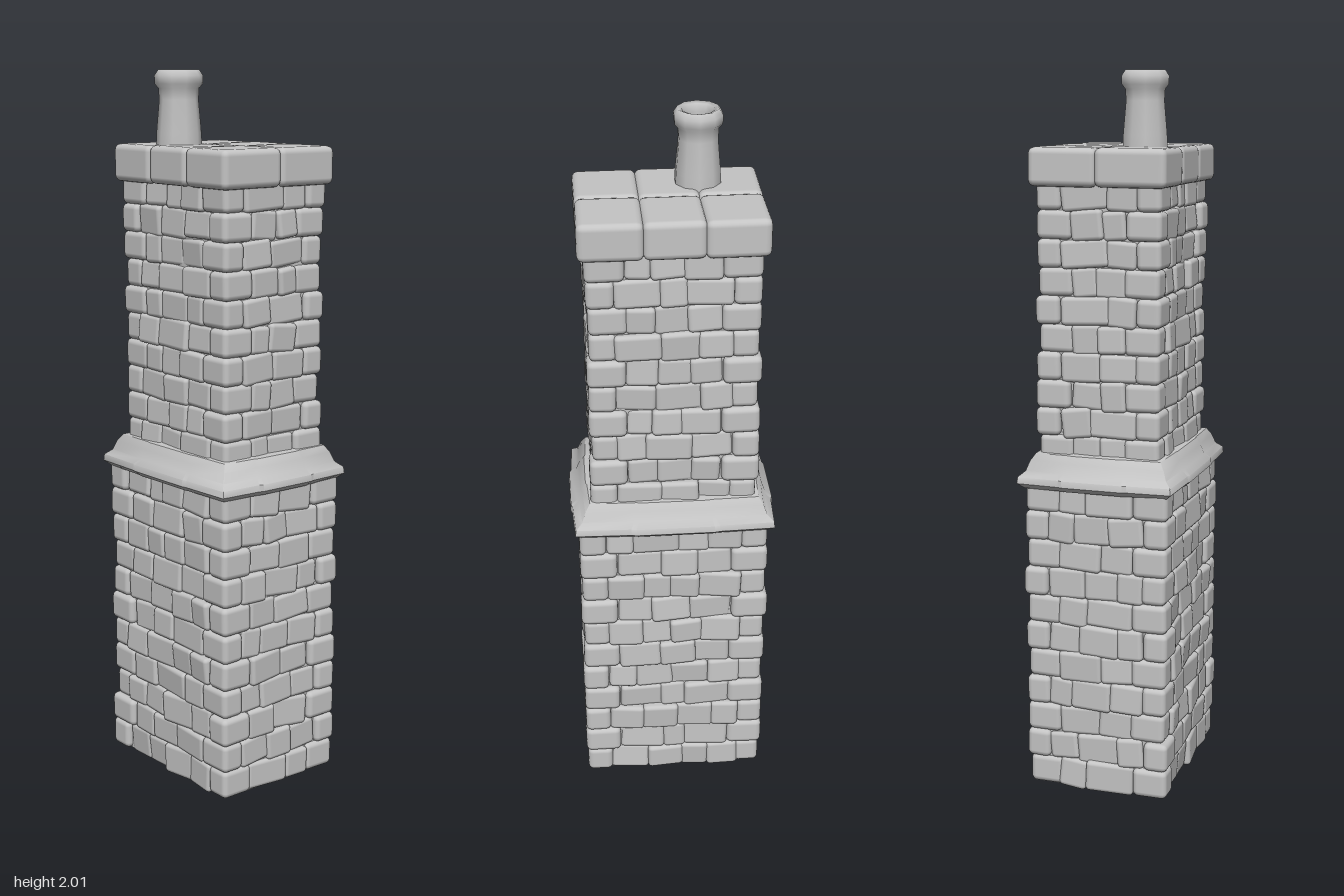
import * as THREE from 'three';
import { mergeGeometries, toCreasedNormals } from 'three/addons/utils/BufferGeometryUtils.js';
import { RoundedBoxGeometry } from 'three/addons/geometries/RoundedBoxGeometry.js';

const stoneGrey = new THREE.MeshStandardMaterial({ color: 0xc4c4c4 });
stoneGrey.name = 'stoneGrey';

let seed = 11;
function rand(a = 0, b = 1) {
  seed = (seed * 16807) % 2147483647;
  return a + (b - a) * (seed / 2147483647);
}

function part(name, geometry) {
  const mesh = new THREE.Mesh(geometry, stoneGrey);
  mesh.name = name;
  return mesh;
}

// One softly rounded, slightly tilted stone
function stone(w, h, d, x, y, z, tilt, radius = 0.012) {
  const g = new RoundedBoxGeometry(w, h, d, 2, Math.min(radius, w * 0.45, h * 0.45, d * 0.45));
  g.rotateX(rand(-tilt, tilt));
  g.rotateY(rand(-tilt, tilt));
  g.rotateZ(rand(-tilt, tilt) * 0.5);
  return g.translate(x, y, z);
}

// Cuts a span into stones of uneven width
function split(from, to, size) {
  const n = Math.max(1, Math.round((to - from) / size));
  const cuts = [from];
  for (let i = 1; i < n; i++) cuts.push(from + ((to - from) * (i + rand(-0.28, 0.28))) / n);
  cuts.push(to);
  return cuts;
}

// Square shaft of stone courses with alternating corner blocks around a core
function shaft(name, hw, hd, y0, y1, courses) {
  const group = new THREE.Group();
  group.name = name;
  const step = (y1 - y0) / courses;
  const corners = [], walls = [];

  for (let c = 0; c < courses; c++) {
    const y = y0 + (c + 0.5) * step;
    const cw = c % 2 ? 0.105 : 0.075;
    const cd = c % 2 ? 0.07 : 0.1;
    for (const sx of [-1, 1]) {
      for (const sz of [-1, 1]) {
        const out = rand(-0.006, 0.006);
        corners.push(stone(cw, step + 0.002, cd,
          sx * (hw - cw / 2 + out), y, sz * (hd - cd / 2 + out), 0.025, 0.016));
      }
    }
    // Front and back stones, then the two sides
    for (const s of [-1, 1]) {
      for (const alongX of [true, false]) {
        const end = alongX ? hw - cw : hd - cd;
        const face = alongX ? hd : hw;
        const cuts = split(-end, end, 0.095);
        for (let i = 0; i + 1 < cuts.length; i++) {
          const len = cuts[i + 1] - cuts[i] + 0.006;
          const mid = (cuts[i] + cuts[i + 1]) / 2;
          const out = s * (face - 0.03 + rand(-0.009, 0.004));
          const h = step * rand(0.98, 1.12);
          walls.push(alongX
            ? stone(len, h, 0.06, mid, y, out, 0.11)
            : stone(0.06, h, len, out, y, mid, 0.11));
        }
      }
    }
  }
  const core = new THREE.BoxGeometry((hw - 0.015) * 2, y1 - y0, (hd - 0.015) * 2);
  core.translate(0, (y0 + y1) / 2, 0);
  group.add(part(name + 'Core', core),
    part(name + 'CornerStones', mergeGeometries(corners)),
    part(name + 'WallStones', mergeGeometries(walls)));
  return group;
}

// Ledge: a worn rectangular outline swept up through rings of [halfWidth, halfDepth, y]
function ledge(rings) {
  const outline = [];
  const side = [[-0.96, 0.965], [-0.43, 0.985], [-0.38, 1.0], [0.38, 1.0], [0.43, 0.985], [0.96, 0.965]];
  for (let k = 0; k < 4; k++) {
    for (const [t, o] of side) {
      outline.push([[o, -t], [t * -1, -o], [-o, t], [t, o]][k]);
    }
  }
  const n = outline.length, pos = [], idx = [];
  for (const [w, d, y] of rings) {
    for (const [x, z] of outline) pos.push([x * w, y, z * d]);
  }
  for (let r = 0; r + 1 < rings.length; r++) {
    for (let i = 0; i < n; i++) {
      const j = (i + 1) % n, a = r * n, b = a + n;
      idx.push(a + i, a + j, b + j, a + i, b + j, b + i);
    }
  }
  const g = new THREE.BufferGeometry();
  g.setAttribute('position', new THREE.Float32BufferAttribute(pos.flat(), 3));
  g.setIndex(idx);
  return toCreasedNormals(g, 0.8);
}

export function createModel() {
  const model = new THREE.Group();
  model.name = 'chimney';

  model.add(shaft('lowerShaft', 0.264, 0.205, 0, 0.885, 11));
  model.add(shaft('upperShaft', 0.23, 0.175, 0.94, 1.71, 10));

  model.add(part('ledge', ledge([
    [0.24, 0.18, 0.87], [0.272, 0.213, 0.87], [0.289, 0.23, 0.885], [0.287, 0.228, 0.903],
    [0.268, 0.21, 0.918], [0.258, 0.2, 0.945], [0.244, 0.187, 0.965], [0.2, 0.15, 0.97],
  ])));

  // Cap of six slabs set in two rows of three
  const slabs = [];
  const xs = [-0.246, -0.08, 0.08, 0.248], zs = [-0.192, -0.004, 0.192];
  for (let i = 0; i < 3; i++) {
    for (let j = 0; j < 2; j++) {
      slabs.push(stone(xs[i + 1] - xs[i] + 0.004, 0.104, zs[j + 1] - zs[j] + 0.004,
        (xs[i] + xs[i + 1]) / 2, 1.747, (zs[j] + zs[j + 1]) / 2, 0.012, 0.018));
    }
  }
  model.add(part('capSlabs', mergeGeometries(slabs)));

  // Clay pot with a flared rim and an open flue
  const profile = [
    [0.064, 1.78], [0.062, 1.83], [0.054, 1.92], [0.056, 1.95], [0.066, 1.962], [0.067, 1.984],
    [0.056, 2.0], [0.044, 1.996], [0.037, 1.975], [0.036, 1.86], [0, 1.855],
  ].map(([r, y]) => new THREE.Vector2(r, y));
  const pot = part('chimneyPot', new THREE.LatheGeometry(profile, 10));
  pot.position.set(-0.082, 0, 0.086);
  model.add(pot);

  return model;
}
